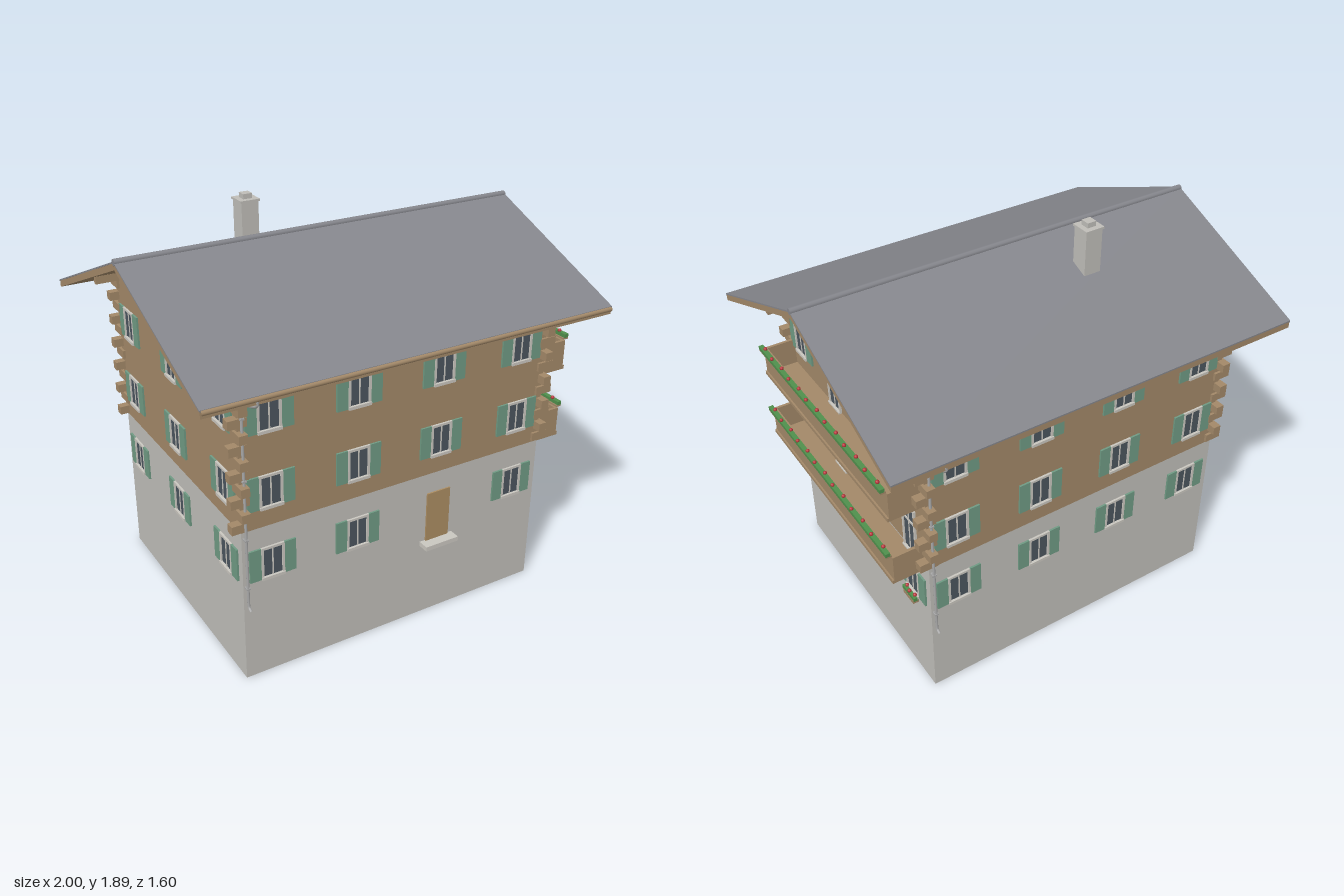
import * as THREE from 'three';

const mat = (name, color, side = THREE.FrontSide) => {
  const m = new THREE.MeshStandardMaterial({ color, side });
  m.name = name;
  return m;
};

export function createModel() {
  const plaster = mat('plaster', 0xbfbdb8, THREE.DoubleSide);
  const wood = mat('wood', 0xa28868, THREE.DoubleSide);
  const doorWood = mat('door wood', 0xab8c61);
  const slate = mat('roof grey', 0x85868c);
  const green = mat('shutter green', 0x6f9a83);
  const glass = mat('glass', 0x4b555e);
  const frameMat = mat('frame', 0xc9c6bf);
  const metal = mat('pipe metal', 0xa9a9a9);
  const leaf = mat('leaves', 0x4f8f4c);
  const red = mat('blossom', 0xb8323a);

  const house = new THREE.Group();
  house.name = 'chalet';
  const HX = 0.78, HZ = 0.63, SPLIT = 0.75;
  const APEX = 1.758, SLOPE = 0.41, SLAB = 0.03, EAVE = 0.79;
  const underside = z => APEX - SLAB - SLOPE * Math.abs(z);

  const add = (parent, name, geo, material) => {
    const m = new THREE.Mesh(geo, material);
    m.name = name;
    parent.add(m);
    return m;
  };
  // Box given by its minimum and maximum on each axis
  const box = (parent, name, material, x0, x1, y0, y1, z0, z1) => {
    const m = add(parent, name, new THREE.BoxGeometry(x1 - x0, y1 - y0, z1 - z0), material);
    m.position.set((x0 + x1) / 2, (y0 + y1) / 2, (z0 + z1) / 2);
    return m;
  };
  const polygon = pts => new THREE.Shape(pts.map(p => new THREE.Vector2(...p)));

  // Each wall is a group whose local +z faces outward
  const makeWall = (name, angle, half, dist, gable) => {
    const g = new THREE.Group();
    g.name = name;
    g.rotation.y = angle;
    g.position.set(Math.sin(angle) * dist, 0, Math.cos(angle) * dist);
    house.add(g);
    const low = polygon([[-half, 0], [half, 0], [half, SPLIT], [-half, SPLIT]]);
    const top = underside(HZ);
    const pts = [[-half, SPLIT], [half, SPLIT], [half, top]];
    if (gable) pts.push([0, underside(0)]);
    pts.push([-half, top]);
    add(g, 'plasterWall', new THREE.ShapeGeometry(low), plaster);
    add(g, 'timberWall', new THREE.ShapeGeometry(polygon(pts)), wood);
    return g;
  };
  const front = makeWall('frontWall', 0, HX, HZ, false);
  const back = makeWall('backWall', Math.PI, HX, HZ, false);
  const left = makeWall('balconyWall', Math.PI / 2, HZ, HX, true);
  const right = makeWall('plainGableWall', -Math.PI / 2, HZ, HX, true);

  // Framed window on a wall, reaching through to the inside
  const addWindow = (wall, u, y0, y1, { shutters = true, w = 0.11, bar = false } = {}) => {
    const g = new THREE.Group();
    g.name = 'window';
    g.position.x = u;
    wall.add(g);
    const h = w / 2, t = 0.011;
    box(g, 'pane', glass, -h + t, h - t, y0 + t, y1 - t, -0.035, 0.004);
    for (const s of [-1, 1]) {
      box(g, 'frameSide', frameMat, s * (h - t / 2) - t / 2, s * (h - t / 2) + t / 2, y0, y1, -0.04, 0.01);
      if (shutters) box(g, 'shutter', green, s * (h + 0.028) - 0.027, s * (h + 0.028) + 0.027, y0, y1, 0, 0.009);
    }
    box(g, 'frameTop', frameMat, -h + t, h - t, y1 - t, y1, -0.04, 0.01);
    box(g, 'sill', frameMat, -h, h, y0 - 0.003, y0 + t, -0.04, 0.016);
    box(g, 'mullion', frameMat, -0.003, 0.003, y0 + t, y1 - t, -0.036, 0.007);
    if (bar) box(g, 'crossbar', frameMat, -h + t, h - t, 0.915 + bar, 0.925 + bar, -0.036, 0.008);
  };

  const rows = [[0.495, 0.65], [0.84, 0.995], [1.19, 1.345]];
  const columns = [-0.64, -0.22, 0.21, 0.635];
  rows.forEach(([y0, y1], r) => {
    columns.forEach((x, i) => {
      if (r > 0 || i !== 2) addWindow(front, x, y0, y1);
      addWindow(back, x, y0, y1);
    });
    for (const u of [-0.485, 0, 0.485]) addWindow(right, u, y0, y1);
    // Balcony side alternates windows and glazed doors on the upper floors
    [-0.49, -0.165, 0.16, 0.485].forEach((u, i) => {
      if (r > 0 && i % 2) addWindow(left, u, y0 - 0.1, y1 + 0.01, { shutters: false, bar: (r - 1) * 0.35 + 0.001 });
      else addWindow(left, u, y0, y1);
    });
  });
  for (const wall of [left, right]) addWindow(wall, 0, 1.545, 1.665, { w: 0.095 });

  // Front door and its step
  box(front, 'frontDoor', doorWood, 0.15, 0.275, 0.4, 0.65, -0.03, 0.008);
  box(front, 'doorStep', frameMat, 0.122, 0.3, 0.378, 0.4, -0.02, 0.055);

  // Flower strips: leaves with evenly spaced blossoms
  const bloom = new THREE.IcosahedronGeometry(0.009, 1);
  const flowers = (u0, u1, y, z, count) => {
    box(left, 'flowerLeaves', leaf, u0, u1, y, y + 0.018, z - 0.011, z + 0.011);
    for (let i = 0; i < count; i++) {
      const b = add(left, 'blossom', bloom, red);
      b.position.set(u0 + (u1 - u0) * (i + 0.5) / count, y + 0.022, z + (i % 2 ? 0.004 : -0.004));
    }
  };
  for (const u of [-0.49, -0.165, 0.16, 0.485]) {
    box(left, 'windowBox', wood, u - 0.045, u + 0.045, 0.465, 0.485, 0.005, 0.034);
    flowers(u - 0.052, u + 0.052, 0.484, 0.022, 3);
  }

  // Two balconies with solid parapets
  for (const y of [0.725, 1.075]) {
    box(left, 'balconyFloor', wood, -0.6, 0.6, y, y + 0.018, 0, 0.155);
    box(left, 'balconyParapet', wood, -0.6, 0.6, y + 0.018, y + 0.145, 0.133, 0.147);
    for (const s of [-1, 1])
      box(left, 'balconyEnd', wood, s * 0.593 - 0.007, s * 0.593 + 0.007, y + 0.018, y + 0.145, 0, 0.134);
    box(left, 'balconyPlanter', wood, -0.59, 0.59, y + 0.145, y + 0.153, 0.145, 0.172);
    flowers(-0.59, 0.59, y + 0.152, 0.162, 13);
  }

  // Interlocking log ends at all four corners
  for (const sx of [-1, 1]) for (const sz of [-1, 1]) {
    for (let k = 0; k < 12; k++) {
      const y = 0.78 + 0.06 * k;
      const alongX = k % 2 === 0;
      const m = add(house, 'logEnd', new THREE.BoxGeometry(alongX ? 0.085 : 0.04, 0.04, alongX ? 0.04 : 0.085), wood);
      m.position.set(sx * (alongX ? 0.783 : 0.772), y, sz * (alongX ? 0.622 : 0.63));
    }
  }

  // Roof: timber chevron, slate skin on top, ridge cap
  const chevron = (top, thick, reach) => polygon([
    [-reach, top - SLOPE * reach], [-reach, top - SLOPE * reach - thick], [0, top - thick],
    [reach, top - SLOPE * reach - thick], [reach, top - SLOPE * reach], [0, top]]);
  const roofPart = (name, material, top, thick, reach, halfX) => {
    const geo = new THREE.ExtrudeGeometry(chevron(top, thick, reach), { depth: 2 * halfX, bevelEnabled: false });
    geo.translate(0, 0, -halfX).rotateY(Math.PI / 2);
    add(house, name, geo, material);
  };
  roofPart('roofTimber', wood, APEX, SLAB, EAVE, 0.998);
  roofPart('roofSkin', slate, APEX + 0.007, 0.007, EAVE + 0.001, 1);
  const ridge = add(house, 'ridgeCap', new THREE.CylinderGeometry(0.015, 0.015, 2, 10), slate);
  ridge.rotation.z = Math.PI / 2;
  ridge.position.y = APEX + 0.003;

  // Purlins carrying the gable overhangs
  for (const s of [-1, 1]) for (const z of [-0.35, 0, 0.35]) {
    const top = underside(z) + 0.004;
    box(house, 'purlin', wood, s * 0.87 - 0.1, s * 0.87 + 0.1, top - 0.035, top, z - 0.011, z + 0.011);
  }

  // Gutters and downpipes, one downpipe on each long side
  for (const s of [-1, 1]) {
    const gutter = add(house, 'gutter',
      new THREE.CylinderGeometry(0.011, 0.011, 1.99, 10, 1, true, Math.PI / 2, Math.PI), wood);
    gutter.rotation.set(0, 0, Math.PI / 2);
    gutter.rotation.x = 0;
    gutter.geometry.rotateY(Math.PI);
    gutter.position.set(0, 1.428, s * 0.79);
    const x = -s * 0.765;
    const path = [[1.42, 0.79], [1.395, 0.785], [1.375, 0.74], [1.345, 0.66], [1.32, 0.645],
      [0.9, 0.645], [0.41, 0.645], [0.385, 0.65], [0.375, 0.668]];
    const curve = new THREE.CatmullRomCurve3(path.map(([y, z]) => new THREE.Vector3(x, y, s * z)), false, 'catmullrom', 0.2);
    add(house, 'downpipe', new THREE.TubeGeometry(curve, 70, 0.0065, 8), metal);
    for (const y of [0.48, 0.72, 1.0, 1.28])
      box(house, 'pipeClip', metal, x - 0.009, x + 0.009, y - 0.004, y + 0.004, s * 0.641 - 0.012, s * 0.641 + 0.012);
  }

  // Chimney
  const cx = -0.285, cz = -0.23;
  const stack = (name, half, y0, y1) =>
    box(house, name, plaster, cx - half, cx + half, y0, y1, cz - half, cz + half);
  stack('chimneyShaft', 0.042, 1.58, 1.862);
  stack('chimneyCap', 0.048, 1.86, 1.87);
  stack('chimneyPot', 0.022, 1.87, 1.893);

  return house;
}
